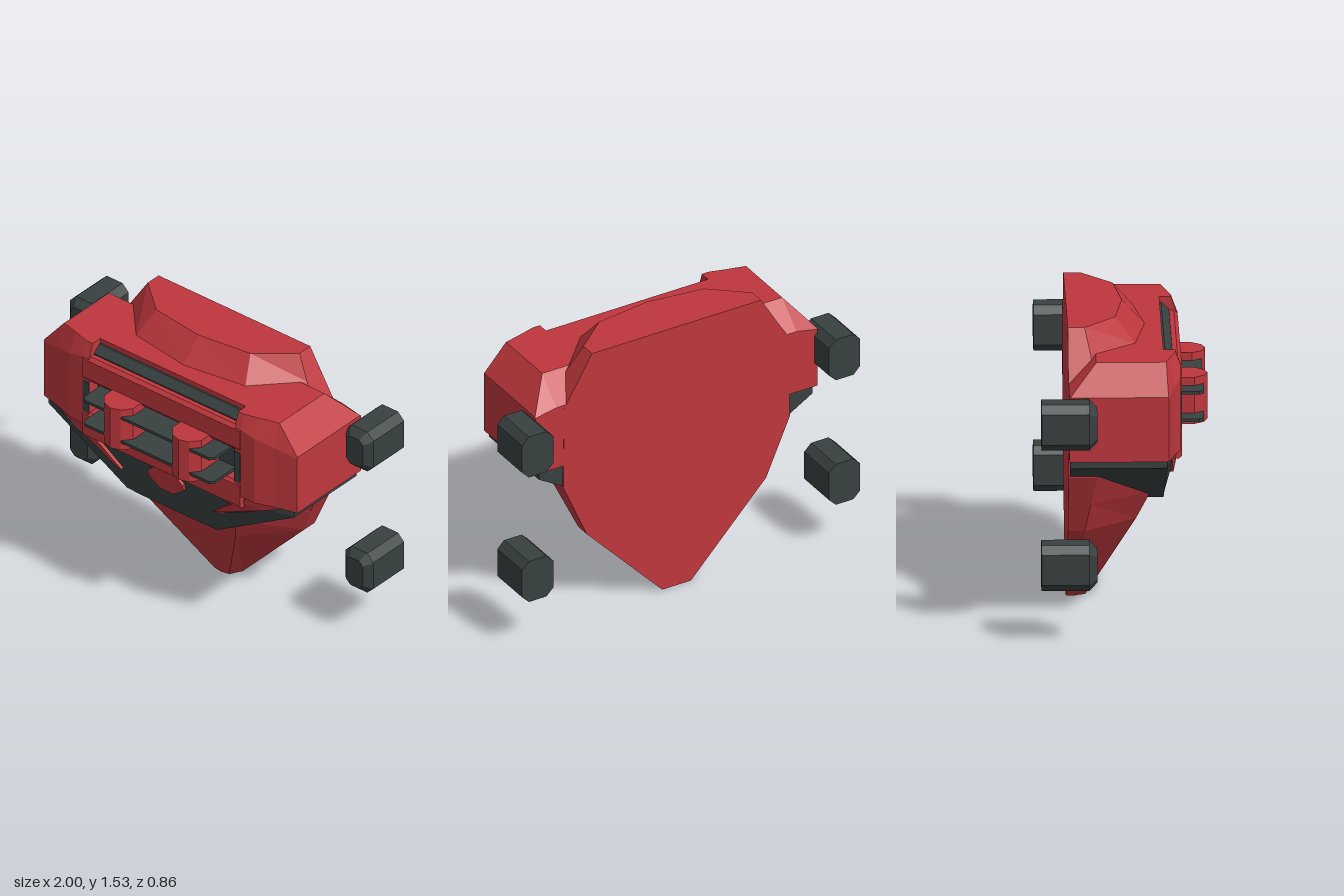
import * as THREE from 'three';

const red = new THREE.MeshStandardMaterial({ color: 0xbe373d });
red.name = 'red armour';
const dark = new THREE.MeshStandardMaterial({ color: 0x384040 });
dark.name = 'dark grey';
red.flatShading = dark.flatShading = true;

// Closed solid through rings of [x, y, z]; faces are turned outward by signed volume
function loft(rings) {
  const tris = [], n = rings[0].length;
  for (let i = 0; i + 1 < rings.length; i++) {
    for (let j = 0; j < n; j++) {
      const k = (j + 1) % n, a = rings[i], b = rings[i + 1];
      tris.push([a[j], a[k], b[k]], [a[j], b[k], b[j]]);
    }
  }
  const first = rings[0], last = rings[rings.length - 1];
  for (let j = 1; j + 1 < n; j++) {
    tris.push([first[0], first[j + 1], first[j]], [last[0], last[j], last[j + 1]]);
  }
  let volume = 0;
  const v = (p) => new THREE.Vector3(...p);
  for (const [a, b, c] of tris) volume += v(a).dot(v(b).cross(v(c)));
  if (volume < 0) tris.forEach((t) => t.reverse());
  const geo = new THREE.BufferGeometry();
  geo.setAttribute('position', new THREE.Float32BufferAttribute(tris.flat(2), 3));
  geo.computeVertexNormals();
  return geo;
}

// Prism along x from a [z, y] profile
const barX = (profile, half) =>
  loft([-half, half].map((x) => profile.map(([z, y]) => [x, y, z])));

// Prism along y from an [x, z] outline
const barY = (outline, y0, y1) =>
  loft([y0, y1].map((y) => outline.map(([x, z]) => [x, y, z])));

// Plate with an [x, y] outline whose front follows the sloping jaw
function jawPlate(points) {
  const geo = new THREE.ExtrudeGeometry(
    new THREE.Shape(points.map((p) => new THREE.Vector2(...p))),
    { depth: 1, bevelEnabled: false });
  const p = geo.attributes.position;
  for (let i = 0; i < p.count; i++) {
    const front = 0.231 + (p.getY(i) - 0.58) * 0.15
      - Math.max(0, Math.abs(p.getX(i)) - 0.47) * 0.17;
    p.setZ(i, p.getZ(i) > 0.5 ? Math.min(front, 0.27) : 0.18);
  }
  geo.computeVertexNormals();
  return geo;
}

// Octagonal outline in the xy plane
function octagon(w, h, c, z) {
  return [[w, h - c], [w - c, h], [c - w, h], [-w, h - c],
    [-w, c - h], [c - w, -h], [w - c, -h], [w, c - h]].map(([x, y]) => [x, y, z]);
}

export function createModel() {
  const group = new THREE.Group();
  const add = (name, geo, mat, x = 0, y = 0, z = 0) => {
    const mesh = new THREE.Mesh(geo, mat);
    mesh.name = name;
    mesh.position.set(x, y, z);
    group.add(mesh);
  };

  // Faceted shell with a flat back: [y, half width, side z, mid x, mid z, front z]
  const shellRows = [
    [0, 0.085, -0.25, 0.05, -0.185, -0.175],
    [0.47, 0.53, -0.2, 0.3, 0.065, 0.115],
    [0.63, 0.6, -0.17, 0.36, 0.14, 0.17],
    [0.79, 0.67, -0.14, 0.38, 0.17, 0.2],
    [1.26, 0.665, -0.15, 0.4, 0.15, 0.19],
    [1.41, 0.575, -0.17, 0.36, 0.06, 0.115],
    [1.535, 0.5, -0.2, 0.31, -0.04, 0],
  ];
  add('shell', loft(shellRows.map(([y, w, zs, m, zm, zf]) => [
    [w, y, -0.285], [w, y, zs], [m, y, zm], [0, y, zf],
    [-m, y, zm], [-w, y, zs], [-w, y, -0.285],
  ])), red);

  // Broad brow block, stepped back in the middle for the grille
  // [x, front z, front top y, top z, top y, back top z, back y]
  const browHalf = [
    [0.835, 0.22, 1.25, 0.218, 1.26, -0.28, 1.255],
    [0.71, 0.252, 1.28, 0.21, 1.41, -0.145, 1.28],
    [0.61, 0.287, 1.31, 0.235, 1.41, -0.145, 1.28],
    [0.52, 0.289, 1.33, 0.26, 1.41, -0.145, 1.28],
    [0.48, 0.289, 1.33, 0.26, 1.41, -0.145, 1.28],
    [0.479, 0.2, 1.37, 0.2, 1.41, -0.145, 1.28],
  ];
  const browRing = (s) => ([x, zf, yf, zt, yt, zb, yb]) => [
    [s * x, 0.92, -0.284], [s * x, 0.92, zf], [s * x, yf, zf],
    [s * x, yt, zt], [s * x, yt, zb], [s * x, yb, -0.284],
  ];
  add('brow', loft([
    ...browHalf.map(browRing(-1)), ...[...browHalf].reverse().map(browRing(1)),
  ]), red);

  // Dark jaw under the brow
  const jawRows = [
    [0.58, 0.3, 0.205, 0.2, 0.21],
    [0.88, 0.81, 0.213, 0.55, 0.257],
    [0.93, 0.81, 0.213, 0.55, 0.26],
  ];
  add('jaw', loft(jawRows.map(([y, w, zs, m, zf]) => [
    [w, y, -0.278], [w, y, zs], [m, y, zf], [-m, y, zf], [-w, y, zs], [-w, y, -0.278],
  ])), dark);

  // Red cheek blades and chin badge
  for (const s of [-1, 1]) {
    const blade = [[0.77, 0.925], [0.63, 0.86], [0.35, 0.73], [0.3, 0.715],
      [0.41, 0.81], [0.5, 0.87], [0.56, 0.925]].map(([x, y]) => [s * x, y]);
    add('cheekBlade', jawPlate(blade), red);
  }
  add('chinBadge', jawPlate([[-0.06, 0.85], [-0.115, 0.8], [-0.115, 0.765], [-0.045, 0.71],
    [0.045, 0.71], [0.115, 0.765], [0.115, 0.8], [0.06, 0.85]]), red);

  // Grille frame bars, dark recess and vent slot
  add('upperBar', barX([[0.19, 1.2], [0.28, 1.19], [0.294, 1.21], [0.294, 1.32],
    [0.275, 1.338], [0.19, 1.338]], 0.52), red);
  add('lowerBar', barX([[0.19, 0.85], [0.275, 0.845], [0.294, 0.86], [0.294, 0.985],
    [0.28, 1.0], [0.19, 1.0]], 0.52), red);
  add('ventSlot', barX([[0.19, 1.33], [0.25, 1.33], [0.25, 1.345], [0.21, 1.382],
    [0.19, 1.382]], 0.478), dark);
  add('recess', new THREE.BoxGeometry(0.958, 0.24, 0.03), dark, 0, 1.1, 0.205);
  for (const s of [-1, 1]) {
    add('recessSide', new THREE.BoxGeometry(0.04, 0.18, 0.006), dark, s * 0.498, 1.095, 0.29);
  }
  add('recessWedge', loft([0.2, 0.26].map((z) => [
    [-0.115, 1.19, z], [-0.07, 1.03, z], [0.07, 1.03, z], [0.115, 1.19, z],
  ])), red);

  // Thin horizontal grille fins
  const fin = [[-0.43, 0.22], [0.43, 0.22], [0.43, 0.385], [0.41, 0.408], [-0.41, 0.408], [-0.43, 0.385]];
  for (const y of [1.02, 1.165]) add('grilleFin', barY(fin, y - 0.008, y + 0.008), dark);

  // Upright grille posts
  const post = [[-0.095, 0.22], [0.095, 0.22], [0.095, 0.36], [0.055, 0.41],
    [0, 0.428], [-0.055, 0.41], [-0.095, 0.36]];
  for (const s of [-1, 1]) add('grillePost', barY(post, 0.97, 1.215), red, s * 0.225);

  // Four bevelled corner pods
  const pod = loft([
    octagon(0.092, 0.12, 0.04, -0.428), octagon(0.092, 0.12, 0.04, -0.185),
    octagon(0.055, 0.083, 0.025, -0.145),
  ]);
  for (const s of [-1, 1]) {
    for (const y of [0.4, 1.14]) add('cornerPod', pod, dark, s * 0.908, y);
  }
  return group;
}
